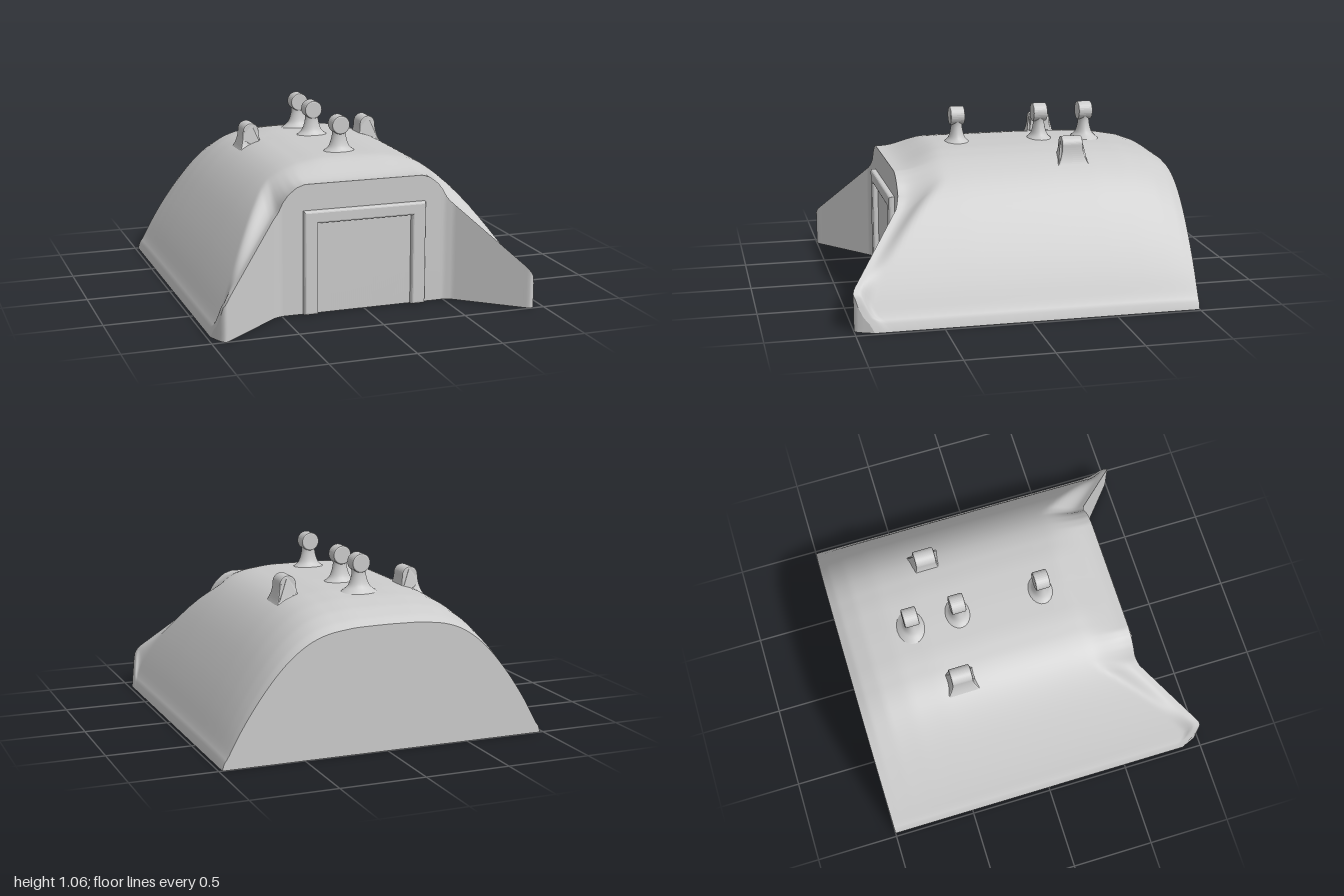
import * as THREE from 'three';

const mat = new THREE.MeshStandardMaterial({ color: 0xcccccc, roughness: 0.8 });
const { lerp, smoothstep } = THREE.MathUtils;

// Piecewise-linear lookup through [x, y] pairs
function lookup(pts, x) {
  if (x <= pts[0][0]) return pts[0][1];
  for (let i = 1; i < pts.length; i++) {
    const [x0, y0] = pts[i - 1], [x1, y1] = pts[i];
    if (x <= x1) return lerp(y0, y1, (x - x0) / (x1 - x0));
  }
  return pts[pts.length - 1][1];
}
// Same, averaged over a small window for a soft curve
function soft(pts, x, w) {
  let sum = 0;
  for (let k = -2; k <= 2; k++) sum += lookup(pts, Math.abs(x + (k * w) / 2));
  return sum / 5;
}

const HALF = 0.98;
// Cross-section of the earth mound (x -> height)
const PROFILE = [[0, 0.852], [0.2, 0.848], [0.35, 0.825], [0.45, 0.785], [0.55, 0.71], [0.65, 0.6],
  [0.75, 0.455], [0.85, 0.285], [0.93, 0.12], [0.98, 0.0]];
// Height scale along the length, rounding off at the back
const ALONG = [[-1, 0.86], [-0.95, 0.9], [-0.85, 0.945], [-0.7, 0.978], [-0.5, 0.995], [-0.2, 1], [0.3, 1], [1, 0.98]];
// Top edge of the front wall and its plan line
const WALL_TOP = [[0, 0.767], [0.36, 0.767], [0.41, 0.75], [0.46, 0.71], [0.49, 0.67], [0.52, 0.615],
  [0.9, 0.24], [0.937, 0.185], [0.95, 0.1], [0.98, 0.02]];
const WALL_PLAN = [[0, 0.675], [0.5, 0.675], [0.55, 0.695], [0.87, 0.965], [0.905, 0.995], [0.92, 1], [0.94, 0.985], [0.98, 0.89]];

const frontZ = x => lookup(WALL_PLAN, Math.abs(x));
const wallTop = x => (Math.abs(x) > HALF - 0.001 ? 0 : lookup(WALL_TOP, Math.abs(x)));

function moundY(x, z) {
  const a = Math.abs(x);
  if (a > HALF - 0.001) return 0;
  const base = soft(PROFILE, a, 0.04) * lookup(ALONG, z);
  const reach = lookup([[0, 0.32], [0.5, 0.28], [0.95, 0.09]], a);
  const zf = frontZ(x);
  return lerp(base, wallTop(x), smoothstep(z, zf - reach, zf - 0.035));
}

// Grid surface from a rule fn(u, v) -> [x, y, z]
function sheet(name, nu, nv, fn) {
  const pos = [], idx = [];
  for (let j = 0; j <= nv; j++) for (let i = 0; i <= nu; i++) pos.push(...fn(i / nu, j / nv));
  for (let j = 0; j < nv; j++) for (let i = 0; i < nu; i++) {
    const a = j * (nu + 1) + i, b = a + 1, c = a + nu + 1, d = c + 1;
    idx.push(a, c, b, b, c, d);
  }
  const geo = new THREE.BufferGeometry();
  geo.setAttribute('position', new THREE.Float32BufferAttribute(pos, 3));
  geo.setIndex(idx);
  geo.computeVertexNormals();
  return named(name, geo);
}

function named(name, geo) {
  const mesh = new THREE.Mesh(geo, mat);
  mesh.name = name;
  return mesh;
}

// Round-topped cap lying along z
function cap(r, length) {
  const shape = new THREE.Shape().absarc(0, 0, r - 0.008, 0, Math.PI * 2);
  const geo = new THREE.ExtrudeGeometry(shape, {
    depth: length - 0.016, bevelThickness: 0.008, bevelSize: 0.008, bevelSegments: 2, curveSegments: 16 });
  return geo.translate(0, 0, -(length - 0.016) / 2);
}

// Tall vent pipe with a flared foot
function ventPipe(z) {
  const g = new THREE.Group();
  g.name = 'ventPipe';
  const pts = [[0.115, 0.835], [0.09, 0.853], [0.065, 0.875], [0.05, 0.91], [0.042, 0.95], [0.045, 0.98], [0.05, 1.01]]
    .map(p => new THREE.Vector2(...p));
  const neck = named('ventNeck', new THREE.LatheGeometry(new THREE.SplineCurve(pts).getPoints(18), 20));
  neck.scale.z = 0.78;
  const head = named('ventCap', cap(0.056, 0.088));
  head.position.y = 1.008;
  g.add(neck, head);
  g.position.z = z;
  return g;
}

// Short side vent: an arched block with a spreading skirt
function sideVent(side) {
  const s = new THREE.Shape();
  s.moveTo(-0.085, -0.14);
  s.quadraticCurveTo(-0.045, -0.08, -0.043, 0);
  s.absarc(0, 0, 0.043, Math.PI, 0, true);
  s.quadraticCurveTo(0.045, -0.08, 0.085, -0.14);
  const geo = new THREE.ExtrudeGeometry(s, {
    depth: 0.11, bevelThickness: 0.008, bevelSize: 0.008, bevelSegments: 2, curveSegments: 12 });
  geo.translate(0, 0, -0.055);
  const p = geo.attributes.position;
  for (let i = 0; i < p.count; i++) {
    const y = p.getY(i);
    if (y < -0.01) p.setZ(i, p.getZ(i) * (1 + 0.6 * Math.min(1, -y / 0.12) ** 2));
  }
  geo.computeVertexNormals();
  const mesh = named('sideVent', geo);
  mesh.position.set(side * 0.387, 0.882, -0.38);
  return mesh;
}

// Raised doorway surround, open at the ground
function doorFrame() {
  const s = new THREE.Shape([[-0.36, 0], [-0.3, 0], [-0.3, 0.54], [0.3, 0.54], [0.3, 0], [0.36, 0], [0.36, 0.59], [-0.36, 0.59]]
    .map(p => new THREE.Vector2(...p)));
  const geo = new THREE.ExtrudeGeometry(s, { depth: 0.025, bevelThickness: 0.015, bevelSize: 0.012, bevelSegments: 3 });
  const mesh = named('doorFrame', geo);
  mesh.position.set(0, 0.012, 0.668);
  return mesh;
}

export function createModel() {
  const group = new THREE.Group();
  group.name = 'bunker';
  const X = u => lerp(-HALF, HALF, u);
  const N = 160;

  // Earth mound, front wall with splayed wings, flat back and floor
  group.add(
    sheet('mound', N, 60, (u, v) => {
      const x = X(u), t = v - Math.sin(2 * Math.PI * v) * 0.1; // denser rows at both ends
      const z = lerp(-1, frontZ(x), t);
      return [x, moundY(x, z), z];
    }),
    sheet('frontWall', N, 4, (u, v) => [X(u), wallTop(X(u)) * (1 - v), frontZ(X(u))]),
    sheet('backWall', N, 1, (u, v) => [X(u), moundY(X(u), -1) * v, -1]),
    sheet('floor', N, 1, (u, v) => [X(u), 0, lerp(frontZ(X(u)), -1, v)]),
  );

  group.add(doorFrame());
  for (const z of [0.23, -0.285, -0.57]) group.add(ventPipe(z));
  for (const side of [-1, 1]) group.add(sideVent(side));
  return group;
}
